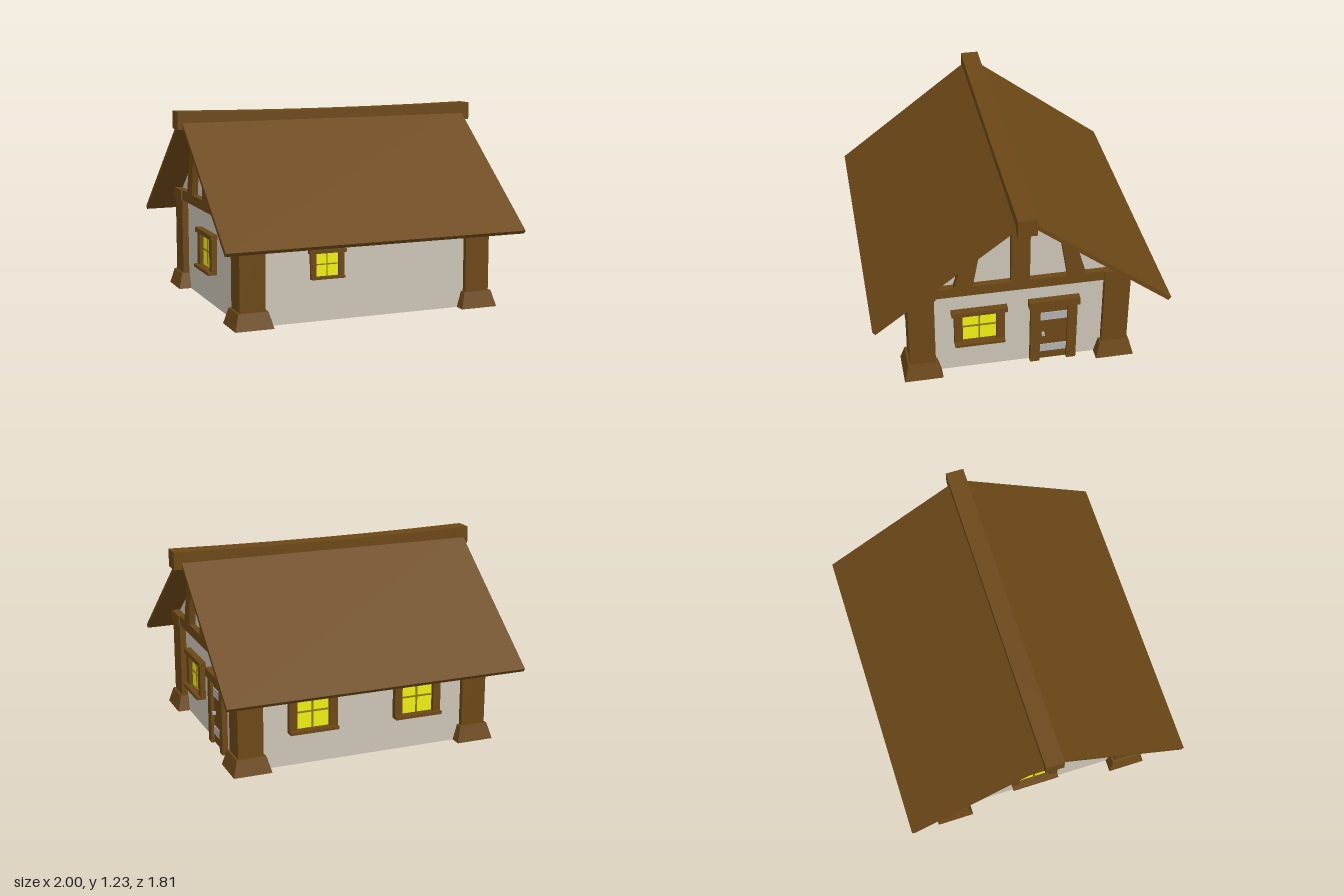
import * as THREE from 'three';

const mat = (color) => new THREE.MeshStandardMaterial({ color, flatShading: true });
const wood = mat(0x6b4716), plaster = mat(0xcbc3b5), glow = mat(0xeeee10);
const bar = mat(0x8f7d12), metal = mat(0xb0b0b0);

const WALL_X = 0.78, WALL_Z = 0.65;

function mesh(name, geometry, material) {
  const m = new THREE.Mesh(geometry, material);
  m.name = name;
  return m;
}

// Box given by its lower and upper limits on each axis
function box(name, material, [x0, x1], [y0, y1], [z0, z1]) {
  const m = mesh(name, new THREE.BoxGeometry(x1 - x0, y1 - y0, z1 - z0), material);
  m.position.set((x0 + x1) / 2, (y0 + y1) / 2, (z0 + z1) / 2);
  return m;
}

// Gable profile in the (z, y) plane, extruded from x0 to x1
function gableSlab(name, material, points, x0, x1) {
  const shape = new THREE.Shape(points.map(([z, y]) => new THREE.Vector2(-z, y)));
  const g = new THREE.ExtrudeGeometry(shape, { depth: x1 - x0, bevelEnabled: false });
  g.rotateY(Math.PI / 2).translate(x0, 0, 0);
  return mesh(name, g, material);
}

// Window facing local +z, centred on its own origin
function makeWindow(name) {
  const g = new THREE.Group();
  g.name = name;
  g.add(box('glass', glow, [-0.11, 0.11], [-0.11, 0.11], [-0.01, 0.01]));
  g.add(box('verticalBar', bar, [-0.005, 0.005], [-0.11, 0.11], [0, 0.016]));
  g.add(box('crossBar', bar, [-0.11, 0.11], [-0.005, 0.005], [0, 0.016]));
  for (const s of [-1, 1]) {
    const x = s * 0.13;
    g.add(box('jamb', wood, [x - 0.025, x + 0.025], [-0.125, 0.11], [-0.02, 0.035]));
  }
  g.add(box('lintel', wood, [-0.172, 0.172], [0.1, 0.13], [-0.02, 0.045]));
  g.add(box('sill', wood, [-0.155, 0.155], [-0.125, -0.105], [-0.02, 0.06]));
  return g;
}

// Door facing local +z, standing on y = 0
function makeDoor() {
  const g = new THREE.Group();
  g.name = 'door';
  g.add(box('doorLeaf', wood, [-0.09, 0.09], [0, 0.43], [-0.01, 0.012]));
  for (const [y0, y1] of [[0.06, 0.115], [0.312, 0.37]])
    g.add(box('doorPlate', metal, [-0.085, 0.085], [y0, y1], [0, 0.018]));
  for (const s of [-1, 1]) {
    const x = s * 0.115;
    g.add(box('doorJamb', wood, [x - 0.03, x + 0.03], [0, 0.43], [-0.02, 0.035]));
  }
  g.add(box('doorLintel', wood, [-0.158, 0.158], [0.428, 0.48], [-0.02, 0.045]));
  g.add(box('doorHandle', metal, [-0.072, -0.055], [0.195, 0.215], [0.01, 0.032]));
  return g;
}

function place(object, x, y, z, angle, scale = 1) {
  object.position.set(x, y, z);
  object.rotation.y = angle;
  object.scale.setScalar(scale);
  return object;
}

export function createModel() {
  const house = new THREE.Group();
  house.name = 'cottage';

  // Plaster body with gable ends
  house.add(gableSlab('walls', plaster,
    [[-WALL_Z, 0], [WALL_Z, 0], [WALL_Z, 0.66], [0, 1.165], [-WALL_Z, 0.66]], -WALL_X, WALL_X));

  // Roof: two thin slopes
  for (const s of [-1, 1]) {
    const slope = [[0, 1.204], [0.905, 0.508], [0.888, 0.487], [0, 1.172]];
    house.add(gableSlab('roofSlope', wood, slope.map(([z, y]) => [s * z, y]), -0.97, 0.95));
  }

  // Ridge beam, sagging gently in the middle
  const ridge = new THREE.BoxGeometry(2, 0.11, 0.115, 6, 1, 1);
  const p = ridge.attributes.position;
  for (let i = 0; i < p.count; i++) {
    const x = p.getX(i);
    p.setY(i, p.getY(i) + 1.175 - 0.013 * (1 - x * x));
  }
  ridge.computeVertexNormals();
  house.add(mesh('ridgeBeam', ridge, wood));

  // Corner posts with splayed feet and caps
  for (const sx of [-1, 1]) for (const sz of [-1, 1]) {
    const x = sx * 0.74, z = sz * 0.603;
    const post = new THREE.Group();
    post.name = 'cornerPost';
    post.add(box('postShaft', wood, [-0.08, 0.08], [0.1, 0.6], [-0.08, 0.08]));
    post.add(box('postCap', wood, [-0.09, 0.09], [0.59, 0.66], [-0.09, 0.09]));
    const foot = new THREE.CylinderGeometry(0.093 * Math.SQRT2, 0.12 * Math.SQRT2, 0.1, 4);
    foot.rotateY(Math.PI / 4).translate(0, 0.05, 0);
    post.add(mesh('postFoot', foot, wood));
    post.position.set(x, 0, z);
    house.add(post);
  }

  // Timber framing on both gables
  for (const s of [-1, 1]) {
    const near = s > 0 ? WALL_X - 0.02 : -0.82, far = near + 0.06;
    house.add(box('gableBeam', wood, [near, far], [0.595, 0.66], [-0.69, 0.69]));
    house.add(box('gablePost', wood, [near, far], [0.65, 1.14], [-0.057, 0.057]));
    for (const sz of [-1, 1]) {
      const brace = [[0.29, 0.65], [0.405, 0.65], [0.325, 0.922], [0.23, 0.995]];
      house.add(gableSlab('gableBrace', wood, brace.map(([z, y]) => [sz * z, y]), near, far));
    }
  }

  // Door and windows
  const q = Math.PI / 2;
  house.add(place(makeDoor(), WALL_X, 0, -0.215, q));
  house.add(place(makeWindow('rightWindow'), WALL_X, 0.335, 0.247, q));
  house.add(place(makeWindow('leftWindow'), -WALL_X, 0.335, -0.04, -q));
  house.add(place(makeWindow('frontWindow'), -0.263, 0.348, WALL_Z, 0, 0.69));
  for (const x of [0.34, -0.35])
    house.add(place(makeWindow('backWindow'), x, 0.335, -WALL_Z, Math.PI));

  return house;
}
